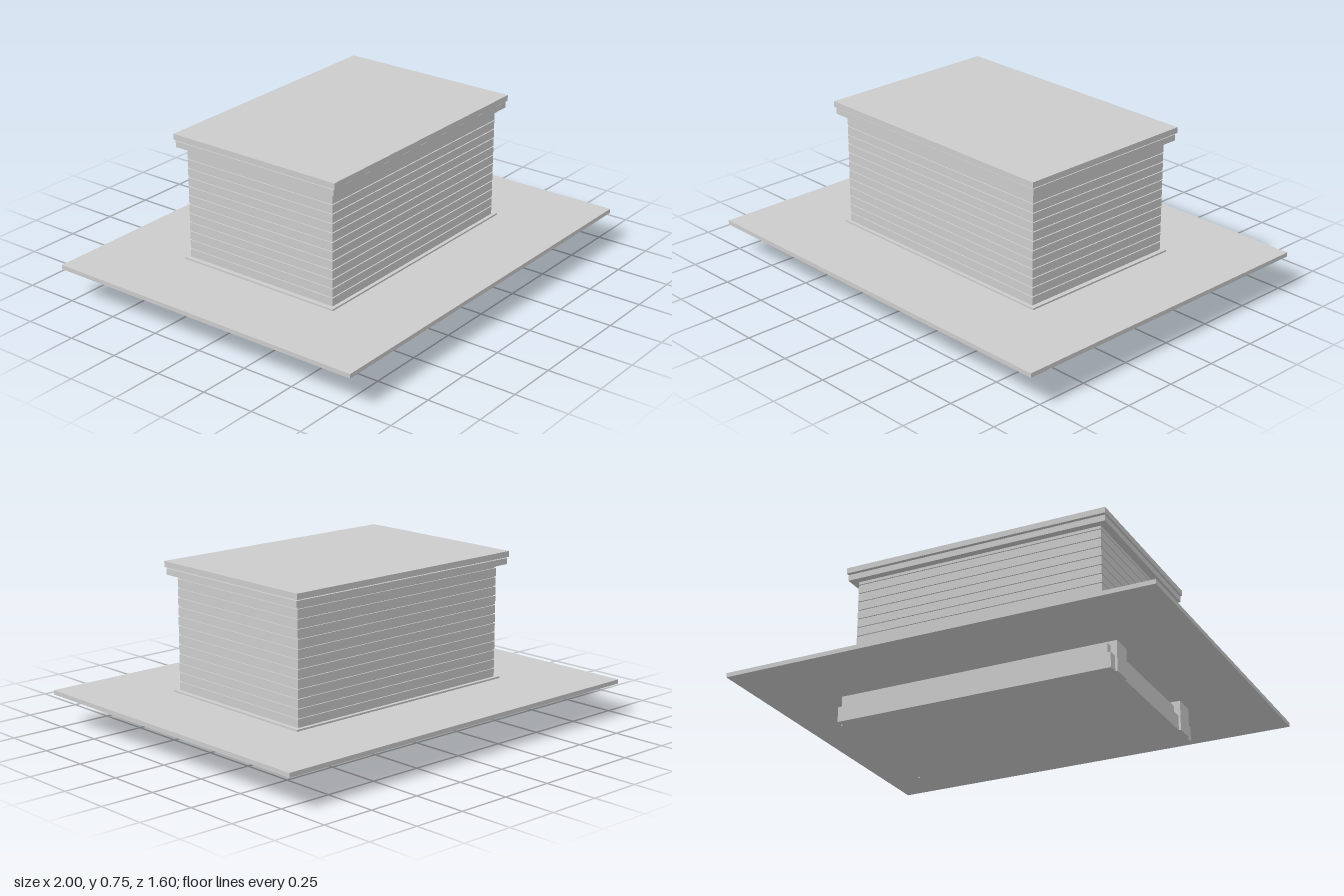
import * as THREE from 'three';

export function createModel() {
  const model = new THREE.Group();
  const material = new THREE.MeshStandardMaterial({ color: 0xcccccc, flatShading: true });

  // Box given by half width, half depth, bottom and top
  function slab(name, hx, hz, y0, y1, x = 0, z = 0) {
    const mesh = new THREE.Mesh(new THREE.BoxGeometry(hx * 2, y1 - y0, hz * 2), material);
    mesh.name = name;
    mesh.position.set(x, (y0 + y1) / 2, z);
    model.add(mesh);
  }

  // Stepped foundation
  slab('footing', 0.65, 0.445, 0, 0.07);
  slab('foundationStep', 0.63, 0.428, 0.07, 0.12);
  slab('foundationCore', 0.6, 0.4, 0.12, 0.14);

  // Piers at both ends of the foundation
  for (const x of [-0.63, 0.63]) {
    for (const z of [-0.35, 0.35]) slab('pier', 0.03, 0.05, 0, 0.14, x, z);
  }

  // Wide ground plate and the sill under the walls
  slab('groundPlate', 1, 0.8, 0.14, 0.16);
  slab('sill', 0.62, 0.415, 0.16, 0.168);

  // Walls: recessed core with horizontal boards separated by grooves
  slab('wallCore', 0.592, 0.392, 0.168, 0.73);
  const pitch = 0.0427, groove = 0.005, start = 0.168;
  for (let i = 0; i < 12; i++) {
    const y = start + i * pitch;
    slab('wallBoard', 0.598, 0.398, y, y + pitch - groove);
  }
  slab('topBoard', 0.598, 0.398, start + 12 * pitch, 0.695);

  // Cornice in two layers with a shadow gap, closed by the flat roof
  slab('cornice', 0.633, 0.432, 0.694, 0.722);
  slab('corniceGap', 0.62, 0.42, 0.722, 0.728);
  slab('roof', 0.638, 0.44, 0.728, 0.755);

  return model;
}
